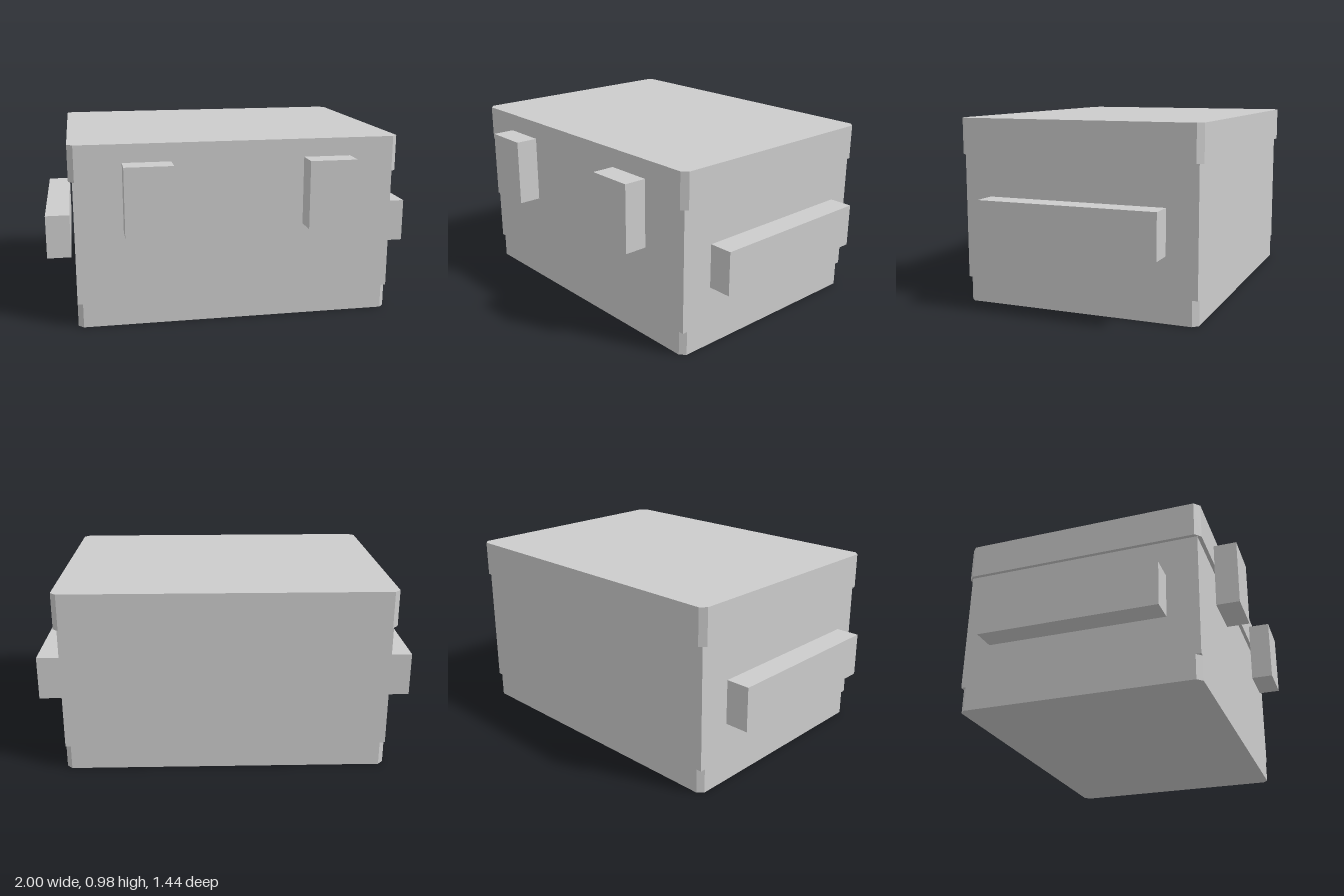
import * as THREE from 'three';

const grey = new THREE.MeshStandardMaterial({ color: 0xcccccc });
grey.name = 'light grey';

const Z = -0.065; // centre of the chest in depth

function box(name, x0, x1, y0, y1, z0, z1) {
  const mesh = new THREE.Mesh(new THREE.BoxGeometry(x1 - x0, y1 - y0, z1 - z0), grey);
  mesh.position.set((x0 + x1) / 2, (y0 + y1) / 2, (z0 + z1) / 2);
  mesh.name = name;
  return mesh;
}

// Flat slab with cut vertical corners
function slab(name, halfX, halfZ, y0, y1, cut) {
  const a = halfX, b = halfZ;
  const shape = new THREE.Shape([
    [a, cut - b], [a, b - cut], [a - cut, b], [cut - a, b],
    [-a, b - cut], [-a, cut - b], [cut - a, -b], [a - cut, -b],
  ].map(([x, y]) => new THREE.Vector2(x, y)));
  const geometry = new THREE.ExtrudeGeometry(shape, { depth: y1 - y0, bevelEnabled: false });
  geometry.rotateX(-Math.PI / 2);
  const mesh = new THREE.Mesh(geometry, grey);
  mesh.position.set(0, y0, Z);
  mesh.name = name;
  return mesh;
}

export function createModel() {
  const chest = new THREE.Group();
  chest.name = 'chest';

  // Base and overhanging lid
  chest.add(slab('base', 0.85, 0.635, 0, 0.13, 0.028));
  chest.add(slab('lid', 0.87, 0.655, 0.785, 0.975, 0.03));

  // Front and back walls fit between the side walls
  chest.add(box('frontWall', -0.77, 0.77, 0.13, 0.785, 0.49, 0.57));
  chest.add(box('backWall', -0.77, 0.77, 0.13, 0.785, -0.7, -0.62));

  for (const [side, s] of [['left', 1], ['right', -1]]) {
    const span = (a, b) => (s > 0 ? [a, b] : [-b, -a]);
    chest.add(box(side + 'Wall', ...span(0.77, 0.85), 0.13, 0.785, -0.7, 0.57));
    // Carrying handle and front latch stand just clear of the walls
    chest.add(box(side + 'Handle', ...span(0.873, 1), 0.34, 0.573, -0.545, 0.41));
    chest.add(box(side + 'Latch', ...span(0.35, 0.6), 0.52, 0.88, 0.597, 0.72));
  }
  return chest;
}
